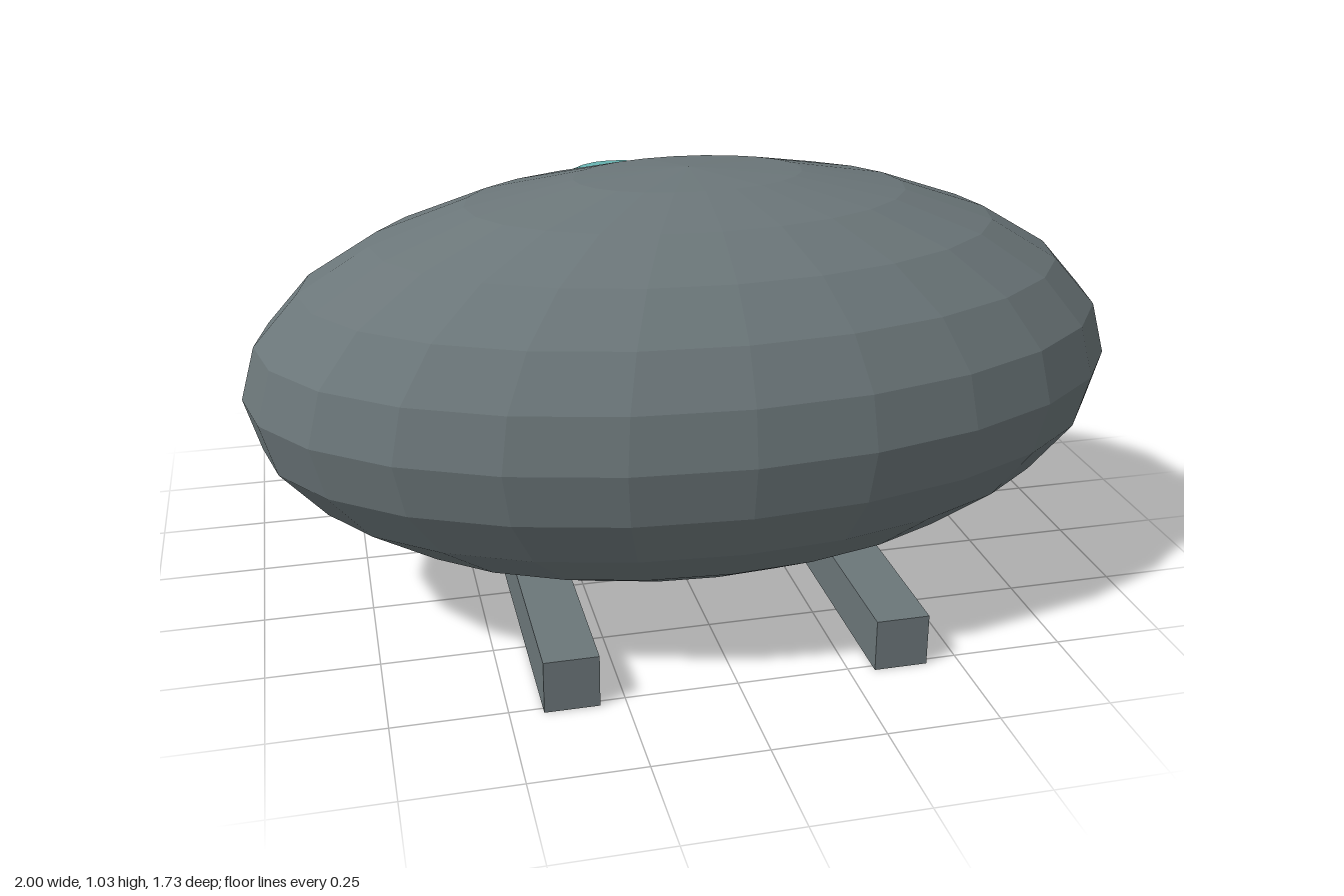
import * as THREE from 'three';

const grey = new THREE.MeshStandardMaterial({ color: 0x6b7679, flatShading: true });
const teal = new THREE.MeshStandardMaterial({ color: 0x66b2b0, flatShading: true });

// Faceted ellipsoid with the given radii, centred at pos
function ellipsoid(name, radii, pos, cols, rows, material) {
  const geometry = new THREE.SphereGeometry(1, cols, rows).scale(...radii);
  const mesh = new THREE.Mesh(geometry, material);
  mesh.name = name;
  mesh.position.set(...pos);
  return mesh;
}

export function createModel() {
  const model = new THREE.Group();
  model.name = 'model';

  // Wide body and the smaller round part behind it
  model.add(ellipsoid('body', [1, 0.465, 0.59], [0, 0.565, 0.275], 24, 12, grey));
  model.add(ellipsoid('rearBall', [0.365, 0.332, 0.332], [0, 0.497, -0.533], 16, 10, teal));

  // Pair of runners under the body
  for (const side of [1, -1]) {
    const runner = new THREE.Mesh(new THREE.BoxGeometry(0.12, 0.12, 1), grey);
    runner.name = side > 0 ? 'leftRunner' : 'rightRunner';
    runner.position.set(side * 0.367, 0.06, 0.267);
    model.add(runner);
  }
  return model;
}
